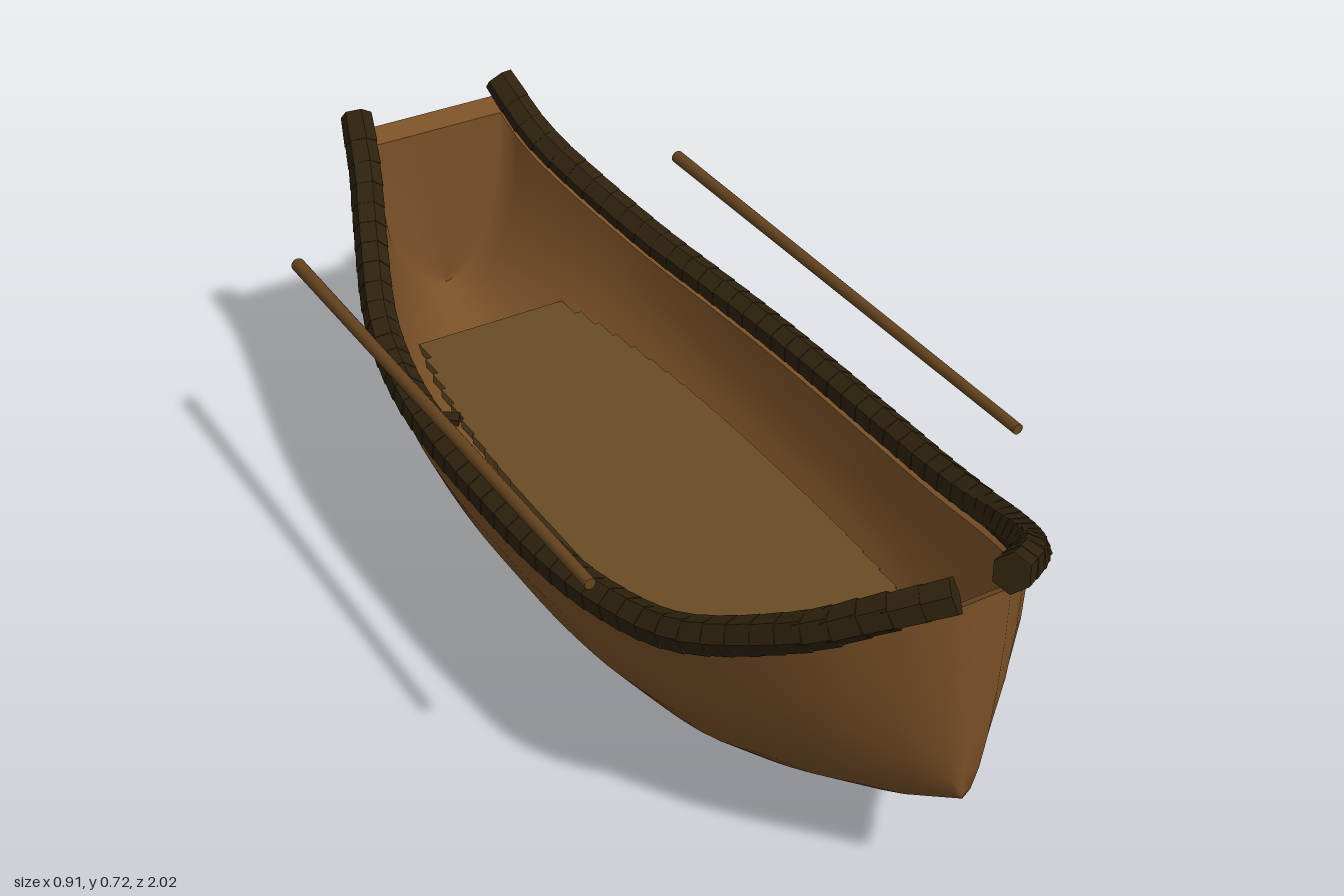
import * as THREE from 'three';

// hull stations from bow to stern: z, half width, rim height, keel height
const STATIONS = [
  [0.97, 0.06, 0.655, 0.23], [0.9, 0.15, 0.607, 0.185], [0.8, 0.232, 0.535, 0.135], [0.6, 0.325, 0.432, 0.062],
  [0.4, 0.362, 0.382, 0.023], [0.2, 0.378, 0.363, 0.006], [0, 0.381, 0.36, 0.002], [-0.2, 0.378, 0.36, 0.005],
  [-0.4, 0.36, 0.37, 0.02], [-0.6, 0.317, 0.405, 0.057], [-0.8, 0.24, 0.495, 0.125], [-0.9, 0.198, 0.56, 0.17],
  [-0.99, 0.17, 0.64, 0.222],
];
const V = (x, y, z) => new THREE.Vector3(x, y, z);
const spline = (points) => new THREE.CatmullRomCurve3(points, false, 'catmullrom', 0.5);
const rimCurve = spline(STATIONS.map(([z, w, rim]) => V(w, rim, z)));
const keelCurve = spline(STATIONS.map(([z, , , keel]) => V(0, keel, z)));

// curve parameter at a given z
function paramAt(z) {
  let lo = 0, hi = 1;
  for (let i = 0; i < 30; i++) {
    const mid = (lo + hi) / 2;
    if (rimCurve.getPoint(mid).z > z) lo = mid; else hi = mid;
  }
  return lo;
}

// half-ellipse cross-section at z, shrunk by the wall thickness
function section(z, wall) {
  const u = paramAt(z), rim = rimCurve.getPoint(u), keel = keelCurve.getPoint(u).y + wall;
  const row = [];
  for (let i = 0; i <= 12; i++) {
    const a = -Math.PI / 2 + (i * Math.PI) / 12;
    row.push(V(Math.sin(a) * (rim.x - wall), rim.y - Math.cos(a) * (rim.y - keel), z));
  }
  return row;
}

function loft(rows, flip = false) {
  const n = rows[0].length, index = [];
  for (let r = 0; r < rows.length - 1; r++) {
    for (let i = 0; i < n - 1; i++) {
      const a = r * n + i, b = a + 1, c = a + n, d = c + 1;
      if (flip) index.push(a, b, c, b, d, c);
      else index.push(a, c, b, b, c, d);
    }
  }
  const geometry = new THREE.BufferGeometry().setFromPoints(rows.flat());
  geometry.setIndex(index);
  geometry.computeVertexNormals();
  return geometry;
}

// rows of sections, with each end closed onto its centre line
function shellRows(front, back, wall) {
  const rows = [];
  for (let i = 0; i <= 40; i++) rows.push(section(THREE.MathUtils.lerp(front, back, i / 40), wall));
  return rows;
}
const closeEnds = (rows) => {
  const flat = (row) => row.map((p) => V(0, p.y, p.z));
  return [flat(rows[0]), ...rows, flat(rows[rows.length - 1])];
};
const perimeter = (rows) => [
  ...rows.map((r) => r[12]), ...rows.map((r) => r[0]).reverse(), rows[0][12],
];

export function createModel() {
  const boat = new THREE.Group();
  boat.name = 'rowingBoat';
  const material = (name, color, side = THREE.FrontSide) => {
    const m = new THREE.MeshStandardMaterial({ color, side });
    m.name = name;
    return m;
  };
  const hullWood = material('hullWood', 0x7a5027, THREE.DoubleSide);
  const floorWood = material('floorWood', 0x6a4c25);
  const railWood = material('darkRailWood', 0x2e220e);
  railWood.flatShading = true;
  const oarWood = material('oarWood', 0x65431f);
  const add = (parent, name, geometry, mat) => {
    const mesh = new THREE.Mesh(geometry, mat);
    mesh.name = name;
    parent.add(mesh);
    return mesh;
  };

  // hull skin, inner lining and the rim joining them
  const outer = shellRows(0.97, -0.99, 0);
  const inner = shellRows(0.94, -0.96, 0.028);
  add(boat, 'hullOutside', loft(closeEnds(outer), true), hullWood);
  add(boat, 'hullInside', loft(closeEnds(inner)), hullWood);
  add(boat, 'hullRim', loft([perimeter(outer), perimeter(inner)], true), hullWood);

  // flat floor of crosswise planks, each cut to the hull's width
  const floor = new THREE.Group();
  floor.name = 'floor';
  const planks = 24, pitch = 1.44 / planks;
  for (let i = 0; i < planks; i++) {
    const z = -0.74 + (i + 0.5) * pitch;
    const width = rimCurve.getPoint(paramAt(z)).x * 1.25;
    add(floor, 'floorPlank', new THREE.BoxGeometry(width, 0.02, pitch), floorWood).position.set(0, 0.235, z);
  }
  boat.add(floor);

  // gunwales made of short overlapping six-sided logs
  const up = V(0, 1, 0);
  const rimPoints = rimCurve.getSpacedPoints(44);
  for (const side of [1, -1]) {
    const rail = new THREE.Group();
    rail.name = side > 0 ? 'leftGunwale' : 'rightGunwale';
    for (let i = 0; i < 44; i++) {
      const [a, b] = [rimPoints[i], rimPoints[i + 1]].map((p) => V(p.x * side, p.y + 0.03, p.z));
      const log = add(rail, 'gunwaleLog',
        new THREE.CylinderGeometry(0.033, 0.035, a.distanceTo(b) * 1.3, 6), railWood);
      log.position.copy(a).add(b).multiplyScalar(0.5);
      log.quaternion.setFromUnitVectors(up, b.sub(a).normalize());
    }
    boat.add(rail);

    // slim tapered oar beside the hull, thicker towards the stern
    const oar = add(boat, side > 0 ? 'leftOar' : 'rightOar',
      new THREE.CylinderGeometry(0.011, 0.014, 1.2, 12), oarWood);
    oar.rotation.x = Math.PI / 2;
    oar.position.set(0.443 * side, 0.545, -0.1);
  }

  // rib ends showing through the lining
  for (const z of [-0.45, 0.41]) {
    const rib = add(boat, 'ribEnd', new THREE.BoxGeometry(0.05, 0.015, 0.03), railWood);
    rib.position.set(-0.25, 0.25, z);
    rib.rotation.y = z > 0 ? 0.6 : -0.6;
  }
  return boat;
}
